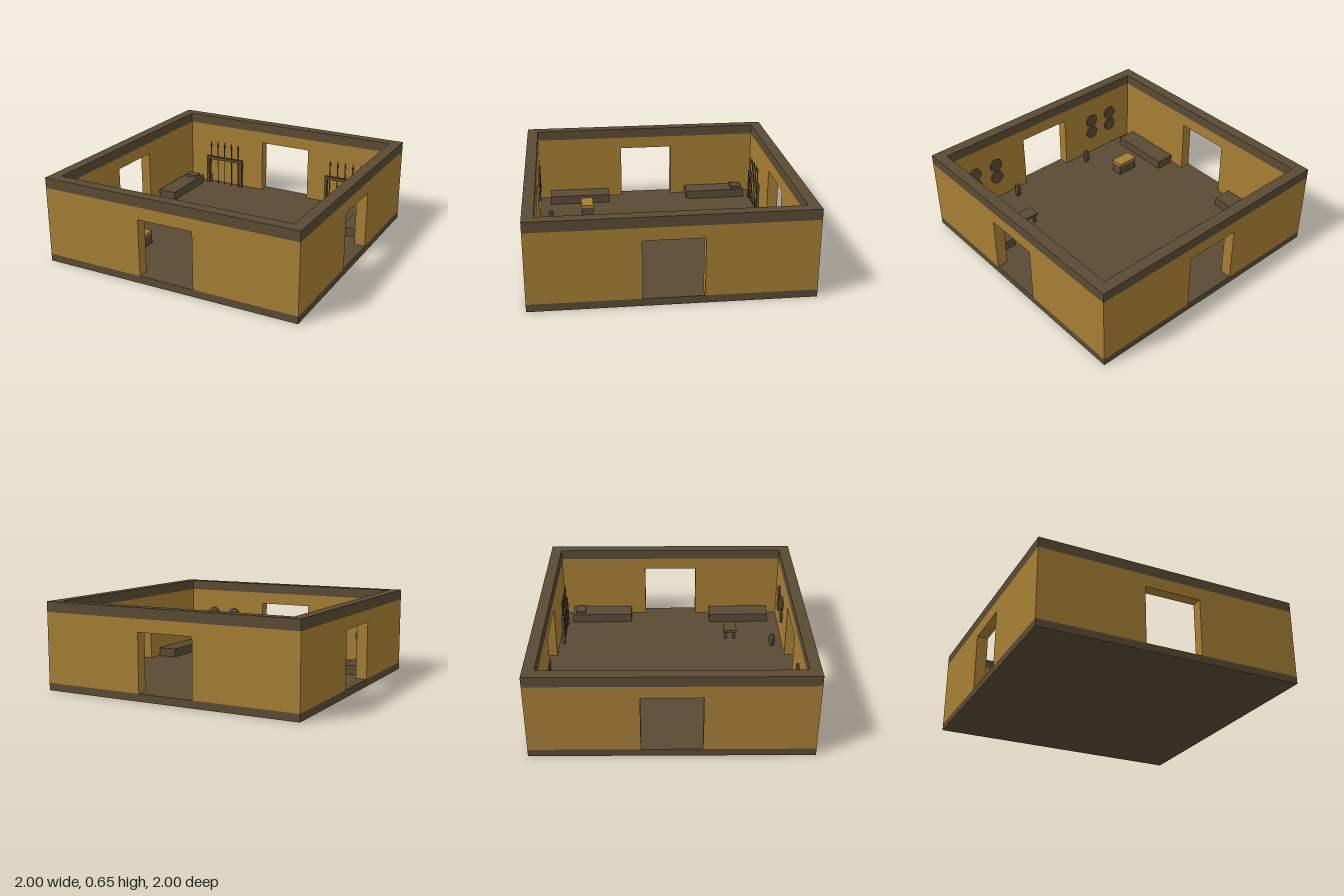
import * as THREE from 'three';

const timber = new THREE.MeshStandardMaterial({ color: 0x5a4a34 });
timber.name = 'dark timber';
const plaster = new THREE.MeshStandardMaterial({ color: 0xa57e34 });
plaster.name = 'ochre plaster';
timber.flatShading = true;

const FLOOR = 0.055, WALL_TOP = 0.578, TOP = 0.655, INNER = 0.917;

function add(parent, name, geometry, material, x = 0, y = 0, z = 0) {
  const mesh = new THREE.Mesh(geometry, material);
  mesh.name = name;
  mesh.position.set(x, y, z);
  parent.add(mesh);
  return mesh;
}

// Box given by its centre in x and z and its bottom and top heights
function block(parent, name, material, x, z, w, d, y0, y1) {
  return add(parent, name, new THREE.BoxGeometry(w, y1 - y0, d), material, x, (y0 + y1) / 2, z);
}

function group(parent, name) {
  const g = new THREE.Group();
  g.name = name;
  parent.add(g);
  return g;
}

// Wall with a doorway notch, extruded inwards from the outer face
function wall(parent, name, half, angle) {
  const door = 0.215, head = 0.485;
  const shape = new THREE.Shape([
    [-half, FLOOR], [-door, FLOOR], [-door, head], [door, head],
    [door, FLOOR], [half, FLOOR], [half, WALL_TOP], [-half, WALL_TOP],
  ].map(([x, y]) => new THREE.Vector2(x, y)));
  const geo = new THREE.ExtrudeGeometry(shape, { depth: 1 - INNER, bevelEnabled: false });
  geo.translate(0, 0, INNER);
  add(parent, name, geo, plaster).rotation.y = angle;
}

function bed(parent, side, z, pillow) {
  const g = group(parent, 'bed');
  const x = side * 0.832;
  block(g, 'bedFrame', timber, x, z, 0.15, 0.498, FLOOR, 0.11);
  block(g, 'mattress', timber, x, z, 0.15, 0.498, 0.11, 0.125);
  if (pillow) block(g, 'pillow', timber, x, -0.77, 0.1, 0.08, 0.125, 0.145);
}

function spearRack(parent, side) {
  const g = group(parent, 'spearRack');
  const x = side * 0.567, z = -0.88;
  for (const s of [-1, 1]) block(g, 'rackPost', timber, x + s * 0.164, z, 0.022, 0.022, FLOOR, 0.275);
  block(g, 'rackBar', timber, x, z, 0.35, 0.022, 0.275, 0.3);
  for (let i = -2; i <= 2; i++) {
    const sx = x + i * 0.0665;
    add(g, 'spearShaft', new THREE.CylinderGeometry(0.004, 0.004, 0.345, 6), timber, sx, FLOOR + 0.1725, z);
    add(g, 'spearHead', new THREE.ConeGeometry(0.009, 0.05, 6), timber, sx, 0.42, z);
  }
}

// Round shields hung in pairs on the front wall
function shields(parent, side) {
  for (const x of [0.5, 0.7]) for (const y of [0.256, 0.372]) {
    const geo = new THREE.CylinderGeometry(0.056, 0.056, 0.011, 16);
    geo.rotateX(Math.PI / 2);
    add(parent, 'shield', geo, timber, side * x, y, 0.911);
  }
}

function urn(parent, side) {
  const profile = [[0, 0], [0.017, 0], [0.028, 0.035], [0.028, 0.07], [0.017, 0.105], [0, 0.105]]
    .map(([r, y]) => new THREE.Vector2(r, y));
  add(parent, 'barrel', new THREE.LatheGeometry(profile, 6), timber, side * 0.367, FLOOR, 0.83)
    .rotation.y = Math.PI / 2;
}

export function createModel() {
  const model = new THREE.Group();
  model.name = 'guardRoom';

  // Floor slab and the four walls
  block(model, 'floor', timber, 0, 0, 2, 2, 0, FLOOR);
  wall(model, 'frontWall', 1, 0);
  wall(model, 'backWall', 1, Math.PI);
  wall(model, 'leftWall', INNER, Math.PI / 2);
  wall(model, 'rightWall', INNER, -Math.PI / 2);

  // Square coping ring on top of the walls
  const ring = new THREE.Shape([[-1, -1], [1, -1], [1, 1], [-1, 1]].map(([x, y]) => new THREE.Vector2(x, y)));
  ring.holes.push(new THREE.Path([[-1, -1], [-1, 1], [1, 1], [1, -1]]
    .map(([x, y]) => new THREE.Vector2(x * INNER, y * INNER))));
  const coping = new THREE.ExtrudeGeometry(ring, { depth: TOP - WALL_TOP, bevelEnabled: false });
  coping.rotateX(-Math.PI / 2);
  add(model, 'coping', coping, timber, 0, WALL_TOP, 0);

  // Mirrored furnishings
  for (const side of [-1, 1]) {
    bed(model, side, -0.586, true);
    bed(model, side, 0.582, false);
    spearRack(model, side);
    shields(model, side);
    urn(model, side);
  }

  // Small table
  const table = group(model, 'table');
  block(table, 'tableTop', timber, 0.53, 0.493, 0.15, 0.105, 0.125, 0.142);
  for (const sx of [-1, 1]) for (const sz of [-1, 1]) {
    block(table, 'tableLeg', timber, 0.53 + sx * 0.052, 0.493 + sz * 0.034, 0.02, 0.02, FLOOR, 0.125);
  }

  // Chest with a bright lid
  const chest = group(model, 'chest');
  block(chest, 'chestBody', timber, -0.535, 0.53, 0.17, 0.095, FLOOR, 0.135);
  block(chest, 'chestLid', plaster, -0.535, 0.53, 0.172, 0.097, 0.135, 0.158);

  return model;
}
